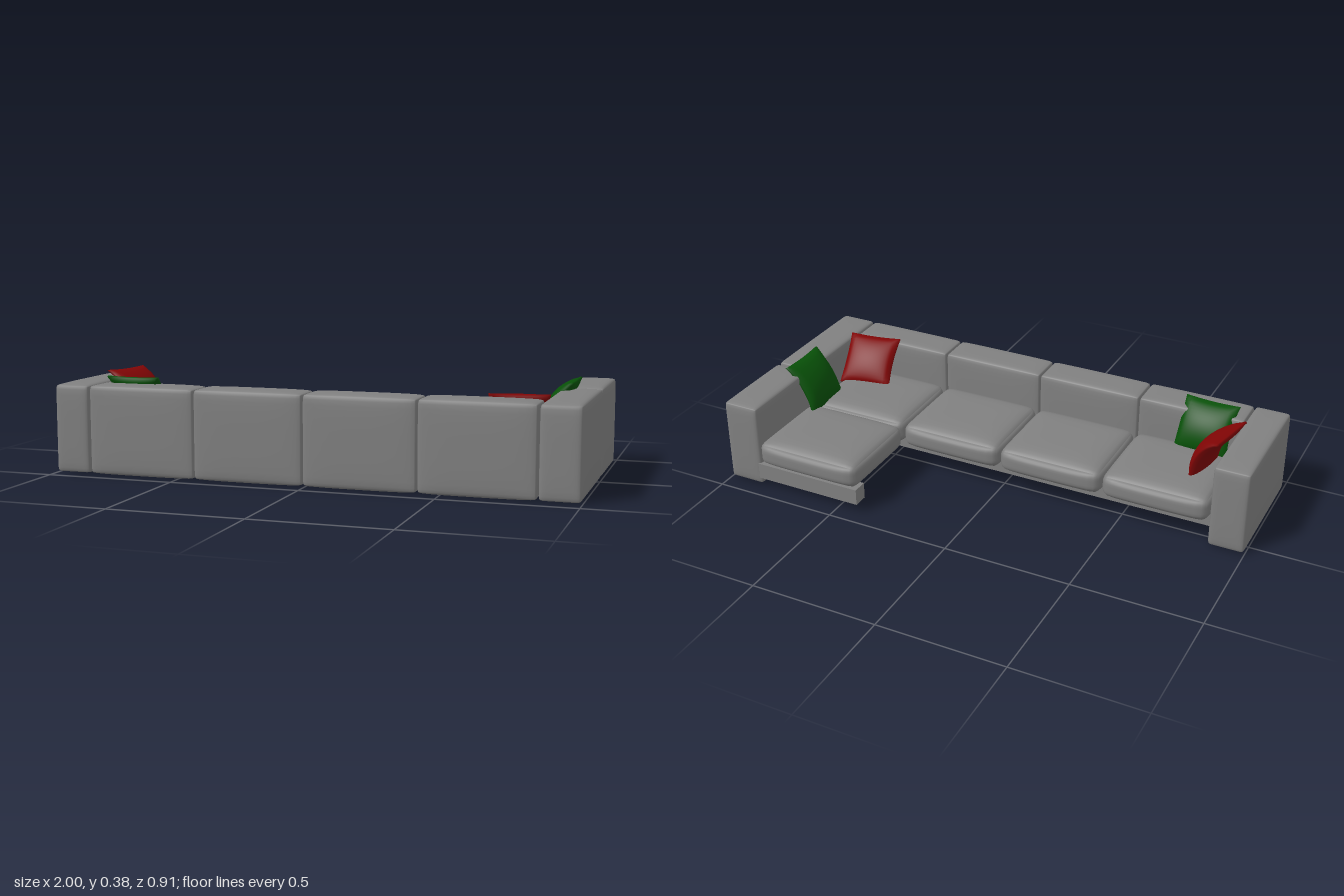
import * as THREE from 'three';
import { mergeVertices } from 'three/addons/utils/BufferGeometryUtils.js';

const fabric = new THREE.MeshStandardMaterial({ color: 0x808080 });
const red = new THREE.MeshStandardMaterial({ color: 0x800505 });
const green = new THREE.MeshStandardMaterial({ color: 0x085008 });

function smooth(geo) {
  geo.deleteAttribute('normal');
  geo.deleteAttribute('uv');
  const merged = mergeVertices(geo, 1e-5);
  merged.computeVertexNormals();
  return merged;
}

// Upholstered block between two corners: rounded edges, faces swelling by [x, y, z]
function block(name, min, max, radius, bulge) {
  const half = min.map((m, i) => (max[i] - m) / 2 - bulge[i]);
  const geo = new THREE.BoxGeometry(2, 2, 2, 14, 14, 14);
  const pos = geo.attributes.position;
  const p = new THREE.Vector3();
  const inner = new THREE.Vector3();
  for (let i = 0; i < pos.count; i++) {
    // crowd the grid towards the edges, then round them
    const q = [pos.getX(i), pos.getY(i), pos.getZ(i)].map((v) => Math.sin((v * Math.PI) / 2));
    p.set(q[0] * half[0], q[1] * half[1], q[2] * half[2]);
    inner.set(...p.toArray().map((v, k) => THREE.MathUtils.clamp(v, radius - half[k], half[k] - radius)));
    p.sub(inner).setLength(radius).add(inner);
    const f = q.map((v) => 1 - v ** 4);
    p.x += bulge[0] * q[0] * f[1] * f[2];
    p.y += bulge[1] * q[1] * f[0] * f[2];
    p.z += bulge[2] * q[2] * f[0] * f[1];
    pos.setXYZ(i, p.x, p.y, p.z);
  }
  const mesh = new THREE.Mesh(smooth(geo), fabric);
  mesh.name = name;
  mesh.position.set(...min.map((m, i) => (m + max[i]) / 2));
  return mesh;
}

// Square throw pillow; u runs across, v runs up the slope, bend curls top and bottom back
function pillow(name, material, center, u, v, bend) {
  const geo = new THREE.BoxGeometry(2, 2, 2, 16, 16, 1);
  const pos = geo.attributes.position;
  for (let i = 0; i < pos.count; i++) {
    const a = pos.getX(i), b = pos.getY(i), side = pos.getZ(i);
    const puff = Math.sqrt(Math.max(0, (1 - a * a) * (1 - b * b)));
    pos.setXYZ(
      i,
      0.108 * a * (1 - 0.06 * (1 - b * b)),
      0.108 * b * (1 - 0.04 * (1 - a * a)),
      side * (0.004 + 0.028 * puff) - bend * (b * b - 0.4)
    );
  }
  const x = new THREE.Vector3(...u).normalize();
  const z = new THREE.Vector3().crossVectors(x, new THREE.Vector3(...v)).normalize();
  const y = new THREE.Vector3().crossVectors(z, x);
  const mesh = new THREE.Mesh(smooth(geo), material);
  mesh.name = name;
  mesh.quaternion.setFromRotationMatrix(new THREE.Matrix4().makeBasis(x, y, z));
  mesh.position.set(...center);
  return mesh;
}

// Square support rail
function rail(name, min, max) {
  const mesh = new THREE.Mesh(new THREE.BoxGeometry(...min.map((m, i) => max[i] - m)), fabric);
  mesh.name = name;
  mesh.position.set(...min.map((m, i) => (m + max[i]) / 2));
  return mesh;
}

export function createModel() {
  const sofa = new THREE.Group();
  sofa.name = 'cornerSofa';

  // Four backrests, each with its seat cushion
  const pitch = 0.4255;
  const seatBulge = [0.004, 0.014, 0.012];
  for (let i = 0; i < 4; i++) {
    const x0 = -0.856 + i * pitch, x1 = x0 + pitch;
    sofa.add(block('backrest' + (i + 1), [x0, 0.001, 0.3], [x1, 0.344, 0.452], 0.013, [0.002, 0.005, 0.005]));
    sofa.add(block('seatCushion' + (i + 1), [x0, 0.088, i < 3 ? -0.085 : -0.078], [x1, 0.212, 0.312], 0.032, seatBulge));
  }

  // Chaise cushion
  sofa.add(block('chaiseCushion', [0.41, 0.088, -0.456], [0.852, 0.212, -0.062], 0.032, seatBulge));

  // Arms
  const armBulge = [0.003, 0.005, 0.004];
  sofa.add(block('rightArm', [-1, 0.001, -0.062], [-0.855, 0.344, 0.452], 0.013, armBulge));
  sofa.add(block('leftArm', [0.847, 0.001, -0.062], [1, 0.344, 0.452], 0.013, armBulge));
  sofa.add(block('chaiseArm', [0.847, 0.001, -0.438], [1, 0.344, -0.066], 0.013, armBulge));

  // Rails under the seats
  sofa.add(rail('seatRail', [-0.86, 0.035, 0.02], [0.86, 0.1, 0.08]));
  sofa.add(rail('chaiseRail', [0.415, 0.035, -0.438], [0.86, 0.1, -0.378]));

  // Throw pillows
  sofa.add(pillow('greenBackPillow', green, [-0.71, 0.282, 0.298], [-0.2, 0, -0.01], [0, 0.18, 0.11], 0.018));
  sofa.add(pillow('redArmPillow', red, [-0.79, 0.292, 0.15], [0.04, 0, -0.2], [-0.1, 0.18, 0], 0.035));
  sofa.add(pillow('redCornerPillow', red, [0.742, 0.275, 0.228], [-0.2, 0, 0.03], [0.02, 0.15, 0.14], 0.006));
  sofa.add(pillow('greenArmPillow', green, [0.838, 0.285, -0.035], [0, 0, 0.2], [0.105, 0.175, 0], 0.018));

  return sofa;
}
